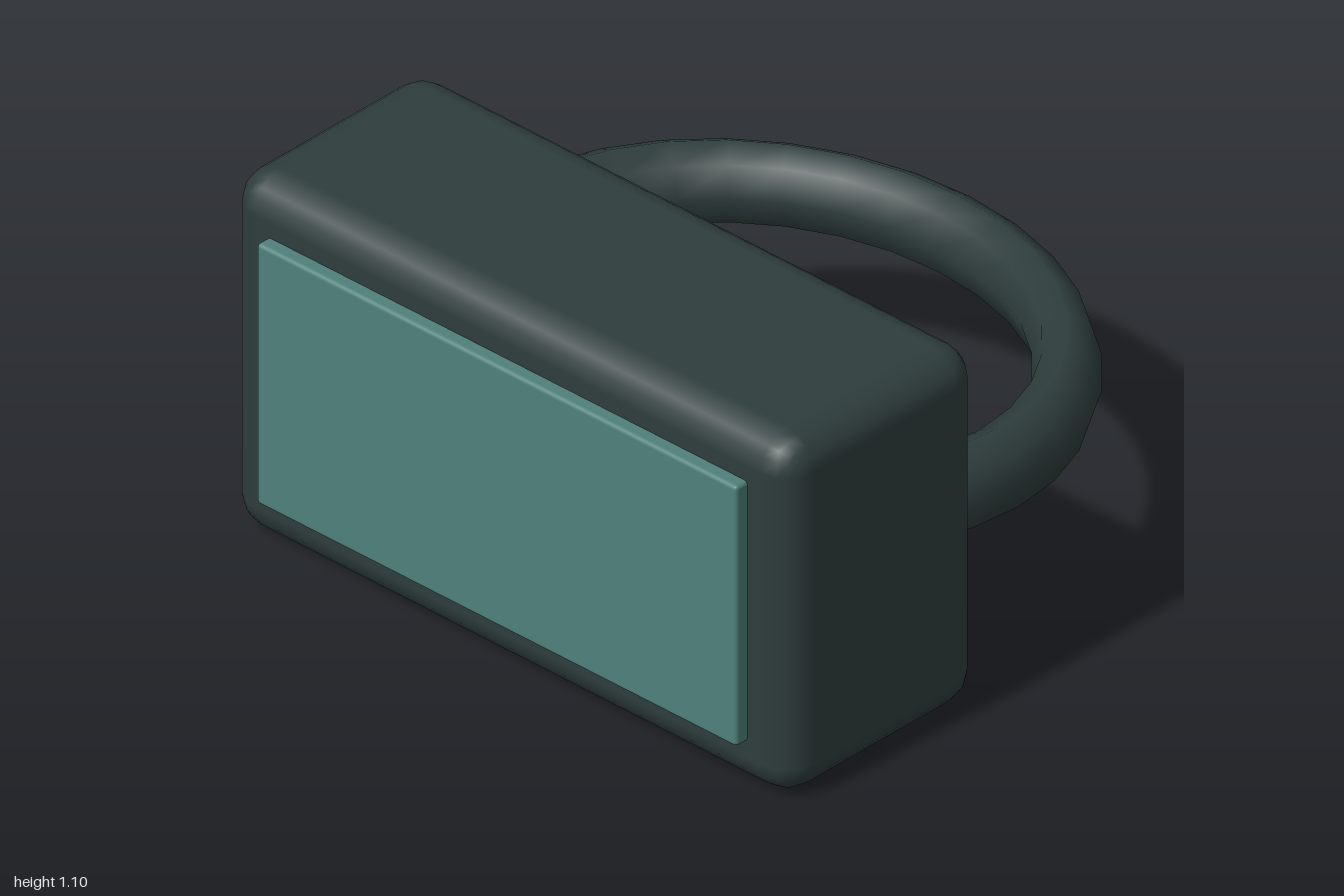
import * as THREE from 'three';
import { RoundedBoxGeometry } from 'three/addons/geometries/RoundedBoxGeometry.js';

export function createModel() {
  const group = new THREE.Group();
  const dark = new THREE.MeshStandardMaterial({ color: 0x2f3d3d });
  dark.name = 'dark slate';
  const teal = new THREE.MeshStandardMaterial({ color: 0x4f807a });
  teal.name = 'teal glass';

  const add = (name, geometry, material, x, y, z) => {
    const mesh = new THREE.Mesh(geometry, material);
    mesh.name = name;
    mesh.position.set(x, y, z);
    group.add(mesh);
    return mesh;
  };

  // Main housing with softened edges
  add('housing', new RoundedBoxGeometry(2.007, 1.097, 0.737, 2, 0.1), dark, 0, 0.545, 0.495);

  // Front glass panel
  add('glassPanel', new RoundedBoxGeometry(1.712, 0.802, 0.072, 2, 0.012), teal, 0, 0.547, 0.87);

  // Head strap: an arc of a ring, flattened to an oval, ends sunk in the housing
  const start = -Math.PI / 8;
  const ring = new THREE.TorusGeometry(0.857, 0.098, 8, 20, Math.PI * 1.25);
  ring.rotateZ(start);
  ring.rotateX(-Math.PI / 2);
  ring.scale(1, 0.125 / 0.098, 0.864);
  add('headStrap', ring, dark, 0, 0.545, -0.085);

  return group;
}
